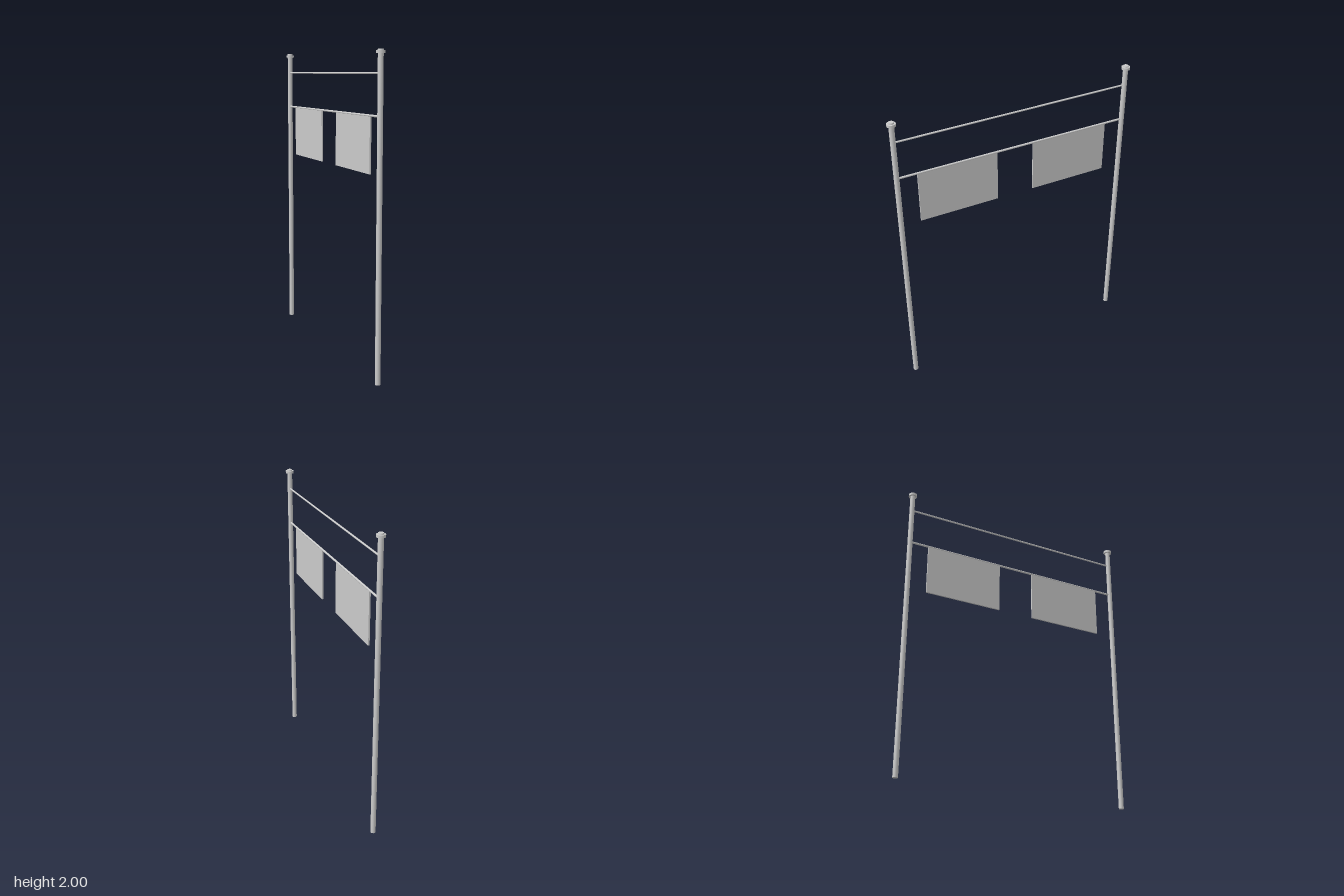
import * as THREE from 'three';

export function createModel() {
  const group = new THREE.Group();
  const material = new THREE.MeshStandardMaterial({ color: 0xcccccc });
  const postZ = 0.793;

  function add(name, geometry, y, z) {
    const mesh = new THREE.Mesh(geometry, material);
    mesh.name = name;
    mesh.position.set(0, y, z);
    group.add(mesh);
    return mesh;
  }

  // Upright posts with a collar near the top, and a hanging panel beside each
  for (const [side, s] of [['front', 1], ['back', -1]]) {
    add(side + 'Post', new THREE.CylinderGeometry(0.017, 0.017, 1.99, 16), 0.995, s * postZ);
    add(side + 'Collar', new THREE.CylinderGeometry(0.028, 0.028, 0.017, 16), 1.983, s * postZ);
    add(side + 'Cap', new THREE.CylinderGeometry(0.017, 0.019, 0.012, 16), 1.994, s * postZ);
    add(side + 'Panel', new THREE.BoxGeometry(0.01, 0.347, 0.535), 1.4385, s * 0.394);
  }

  // Horizontal rails between the posts
  for (const [name, y, r] of [['upperRail', 1.863, 0.006], ['lowerRail', 1.614, 0.007]]) {
    add(name, new THREE.CylinderGeometry(r, r, postZ * 2, 12), y, 0).rotation.x = Math.PI / 2;
  }

  return group;
}
